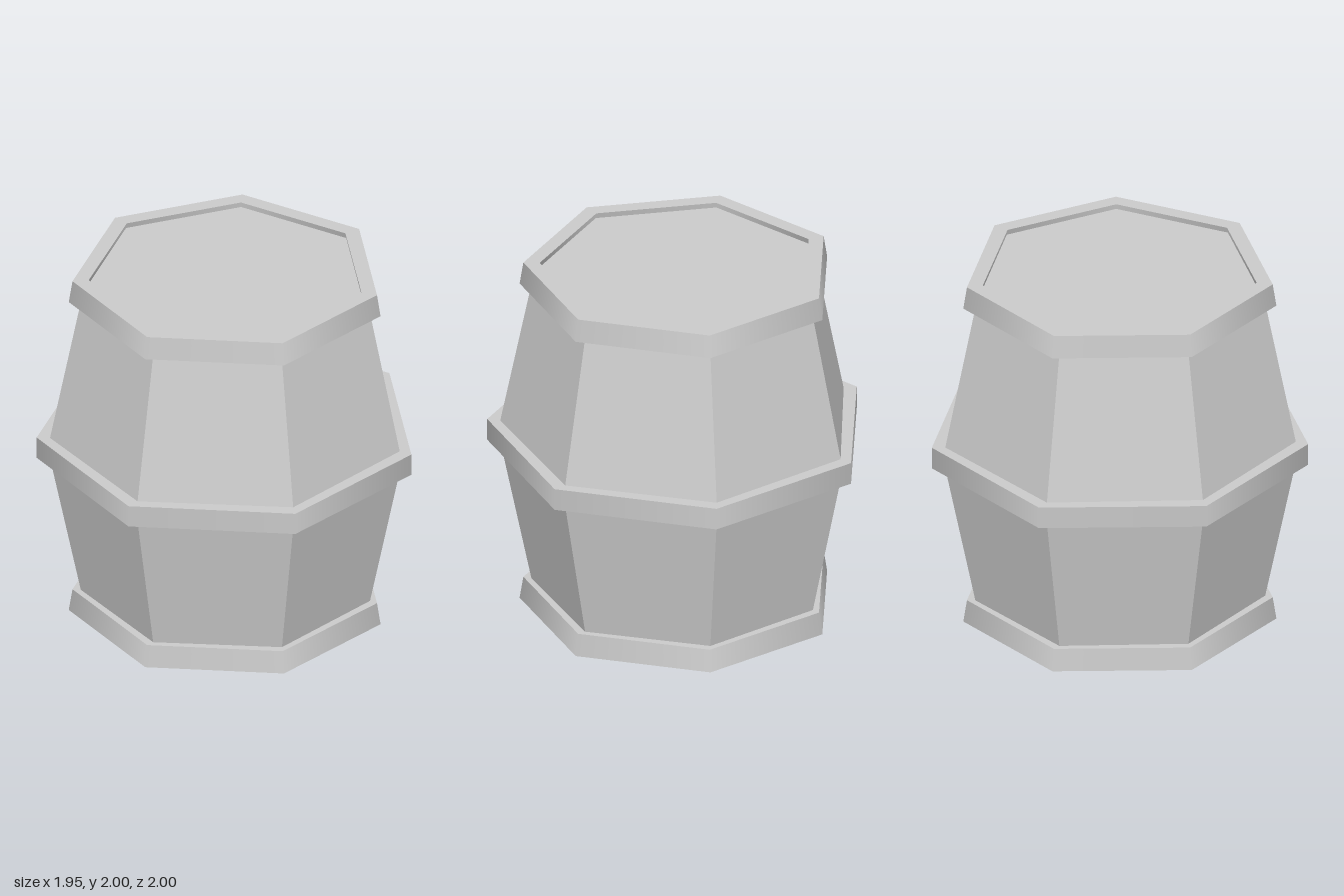
import * as THREE from 'three';
import { mergeGeometries } from 'three/addons/utils/BufferGeometryUtils.js';

const SIDES = 7;
const TWIST = 0.015; // hoops sit slightly turned against the staves

const lathe = (profile, turn) =>
  new THREE.LatheGeometry(profile.map(([r, y]) => new THREE.Vector2(r, y)), SIDES, Math.PI / 2 - turn);

// Closed hoop: each side of its section is a separate band, smooth around but sharp between bands
function hoopGeometry(y0, y1, outer0, outer1, inner0, inner1) {
  const section = [[outer0, y0], [outer1, y1], [inner1, y1], [inner0, y0]];
  return mergeGeometries(section.map((p, i) => lathe([p, section[(i + 1) % 4]], TWIST)));
}

export function createModel() {
  const group = new THREE.Group();
  group.name = 'barrel';
  const flat = new THREE.MeshStandardMaterial({ color: 0xcccccc, flatShading: true });
  const smooth = new THREE.MeshStandardMaterial({ color: 0xcccccc });

  const add = (name, geometry, material) => {
    const mesh = new THREE.Mesh(geometry, material);
    mesh.name = name;
    mesh.position.x = -0.05;
    group.add(mesh);
  };

  // Faceted body with lid and base recessed inside the end hoops
  add('body', lathe([[0, 0.03], [0.77, 0.03], [0.967, 1], [0.77, 1.97], [0, 1.97]], 0), flat);

  // End hoops share one tapered shape, the middle one is straight
  add('bottomHoop', hoopGeometry(0, 0.125, 0.852, 0.832, 0.765, 0.745), smooth);
  add('middleHoop', hoopGeometry(0.94, 1.063, 1.024, 1.024, 0.92, 0.92), smooth);
  add('topHoop', hoopGeometry(1.875, 2, 0.852, 0.832, 0.765, 0.745), smooth);

  return group;
}
